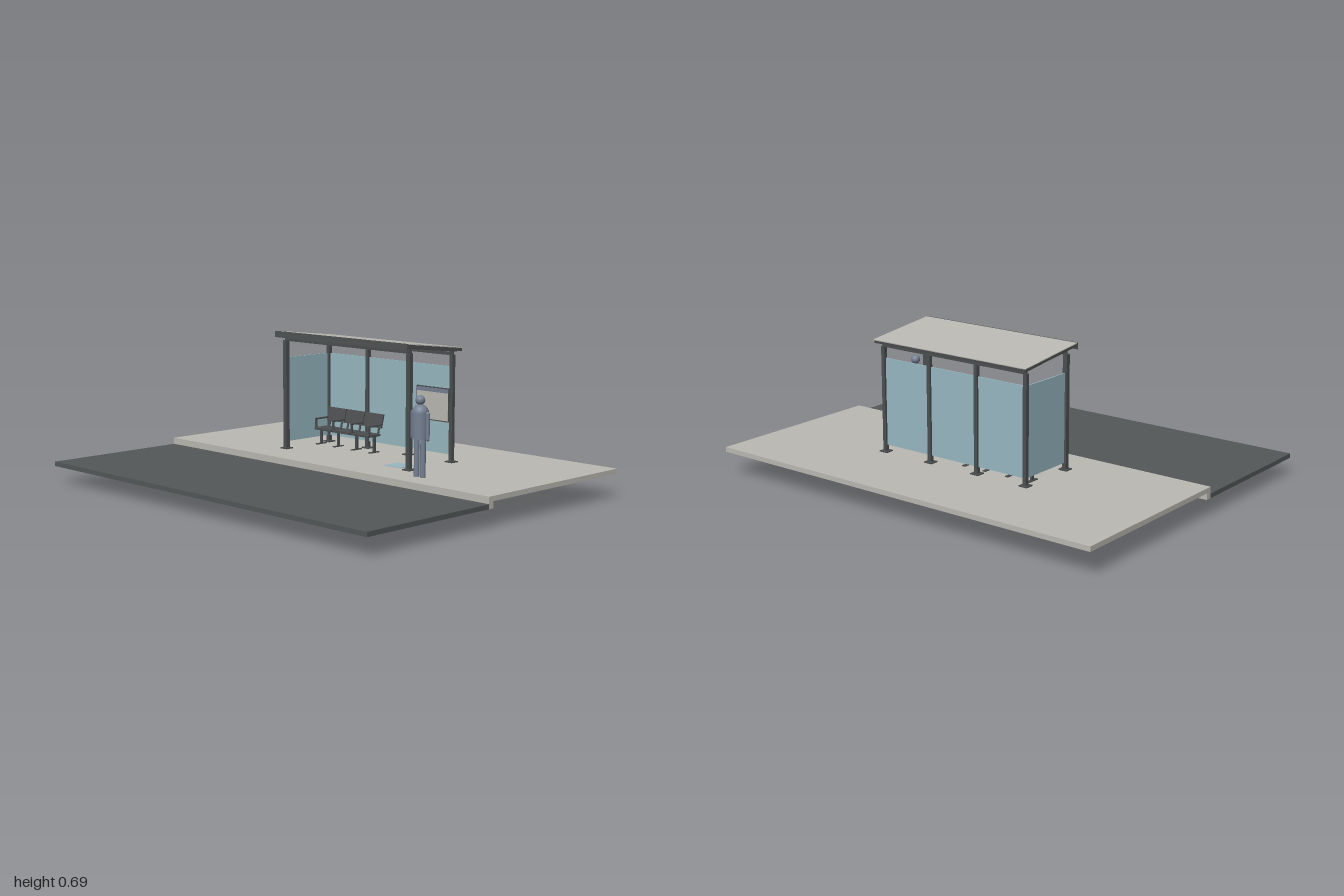
import * as THREE from 'three';

const mat = (name, color) => {
  const m = new THREE.MeshStandardMaterial({ color });
  m.name = name;
  return m;
};

export function createModel() {
  const model = new THREE.Group();
  model.name = 'shelterScene';
  const concrete = mat('concrete', 0xbbb9b2);
  const asphalt = mat('asphalt', 0x545859);
  const steel = mat('dark steel', 0x4c4f50);
  const glass = mat('glass', 0x98b8c2);
  const clothing = mat('slate figure', 0x748092);

  const add = (parent, name, geo, m, x, y, z) => {
    const mesh = new THREE.Mesh(geo, m);
    mesh.name = name;
    mesh.position.set(x, y, z);
    parent.add(mesh);
    return mesh;
  };
  // Box given by its limits on each axis
  const slab = (parent, name, m, x0, x1, y0, y1, z0, z1) =>
    add(parent, name, new THREE.BoxGeometry(x1 - x0, y1 - y0, z1 - z0), m,
      (x0 + x1) / 2, (y0 + y1) / 2, (z0 + z1) / 2);
  const group = (name) => {
    const g = new THREE.Group();
    g.name = name;
    model.add(g);
    return g;
  };

  // Ground: pavement with its kerb, and the lower road
  const ground = 0.129;
  slab(model, 'pavement', concrete, -1, 1, 0.107, ground, -0.783, 0.086);
  slab(model, 'kerb', concrete, -1, 1, 0.078, 0.107, 0.058, 0.086);
  slab(model, 'road', asphalt, -1, 1, 0.078, 0.0985, 0.086, 0.783);

  // Posts with base plates and buried footings: four behind, two in front
  const columns = [-0.391, -0.131, 0.129, 0.39];
  const frontZ = -0.103, backZ = -0.383;
  const frame = group('frame');
  const post = (x, z, top, w) => {
    slab(model, 'footing', concrete, x - 0.05, x + 0.05, 0, 0.107, z - 0.048, z + 0.048);
    slab(frame, 'basePlate', steel, x - 0.021, x + 0.021, ground, ground + 0.005, z - 0.021, z + 0.021);
    slab(frame, 'post', steel, x - w / 2, x + w / 2, ground, top, z - w / 2, z + w / 2);
    slab(frame, 'roofBracket', steel, x - 0.004, x + 0.004, top - 0.005, top + 0.024, z - 0.004, z + 0.004);
  };
  for (const x of columns) post(x, backZ, 0.612, 0.018);
  for (const x of [columns[0], columns[3]]) post(x, frontZ, 0.64, 0.021);
  slab(frame, 'backBeam', steel, -0.39, 0.39, 0.61, 0.624, backZ - 0.007, backZ + 0.007);
  slab(frame, 'frontBeam', steel, -0.39, 0.39, 0.638, 0.65, frontZ - 0.007, frontZ + 0.007);

  // Sloping roof, higher at the front
  const roof = group('roof');
  roof.position.set(0, 0.655, -0.242);
  roof.rotation.x = -0.114;
  slab(roof, 'roofPanel', steel, -0.415, 0.415, -0.007, 0.006, -0.176, 0.176);
  slab(roof, 'roofSheet', concrete, -0.418, 0.418, 0.006, 0.0095, -0.18, 0.18);
  slab(roof, 'fascia', steel, -0.418, 0.418, -0.02, 0.0095, 0.18, 0.185);
  for (const x of columns)
    slab(roof, 'rafter', steel, x - 0.008, x + 0.008, -0.012, -0.007, -0.165, 0.17);

  // Glazing: three panes behind and one at the right end
  const glazing = group('glazing');
  for (let i = 0; i < 3; i++)
    slab(glazing, 'backPane', glass, columns[i] + 0.012, columns[i + 1] - 0.012, 0.163, 0.56, backZ - 0.003, backZ + 0.003);
  slab(glazing, 'endPane', glass, -0.394, -0.388, 0.163, 0.56, -0.37, -0.116);

  // Notice board on the back wall, with a thin face and header strip
  const board = group('noticeBoard');
  slab(board, 'boardFrame', steel, 0.188, 0.382, 0.308, 0.46, -0.38, -0.37);
  slab(board, 'boardFace', concrete, 0.192, 0.379, 0.313, 0.438, -0.37, -0.368);
  slab(board, 'boardHeader', clothing, 0.192, 0.379, 0.438, 0.456, -0.37, -0.368);

  // Waiting pad marked on the floor
  slab(model, 'floorPad', glass, 0.235, 0.335, ground, ground + 0.002, -0.2, -0.11);

  // Bench of three seats with leaning backs
  const bench = group('bench');
  for (let i = 0; i < 3; i++) {
    const x = -0.317 + i * 0.122;
    slab(bench, 'seat', steel, x - 0.056, x + 0.056, 0.203, 0.213, -0.35, -0.266);
    const back = add(bench, 'backrest', new THREE.BoxGeometry(0.116, 0.066, 0.008), steel, x, 0.27, -0.363);
    back.rotation.x = -0.24;
    for (const dx of [-0.04, 0.04]) {
      const strut = add(bench, 'backStrut', new THREE.BoxGeometry(0.008, 0.06, 0.006), steel, x + dx, 0.23, -0.355);
      strut.rotation.x = -0.24;
    }
  }
  slab(bench, 'seatRail', steel, -0.376, -0.015, 0.2, 0.21, -0.32, -0.304);
  for (const x of [-0.371, -0.256, -0.134, -0.02]) {
    slab(bench, 'leg', steel, x - 0.005, x + 0.005, ground, 0.205, -0.318, -0.306);
    slab(bench, 'foot', steel, x - 0.008, x + 0.008, ground, ground + 0.004, -0.34, -0.28);
    slab(bench, 'armrest', steel, x - 0.005, x + 0.005, 0.25, 0.257, -0.36, -0.272);
    slab(bench, 'armSupport', steel, x - 0.004, x + 0.004, 0.205, 0.25, -0.282, -0.274);
  }

  // Standing figure
  const figure = group('figure');
  figure.position.set(0.527, 0, -0.023);
  add(figure, 'head', new THREE.SphereGeometry(0.021, 20, 14), clothing, 0, 0.459, 0);
  const profile = [[0, 0.295], [0.037, 0.295], [0.037, 0.295], [0.037, 0.405]];
  for (let i = 1; i <= 6; i++) {
    const a = (i / 6) * Math.PI / 2;
    profile.push([0.037 * Math.cos(a), 0.405 + 0.037 * Math.sin(a)]);
  }
  add(figure, 'torso', new THREE.LatheGeometry(profile.map(([r, y]) => new THREE.Vector2(Math.max(r, 0), y)), 24),
    clothing, 0, 0, 0);
  for (const s of [-1, 1]) {
    add(figure, 'arm', new THREE.CapsuleGeometry(0.0085, 0.108, 4, 12), clothing, s * 0.044, 0.35, 0);
    add(figure, 'leg', new THREE.CylinderGeometry(0.012, 0.012, 0.172, 14), clothing, s * 0.018, 0.215, 0);
  }

  return model;
}
